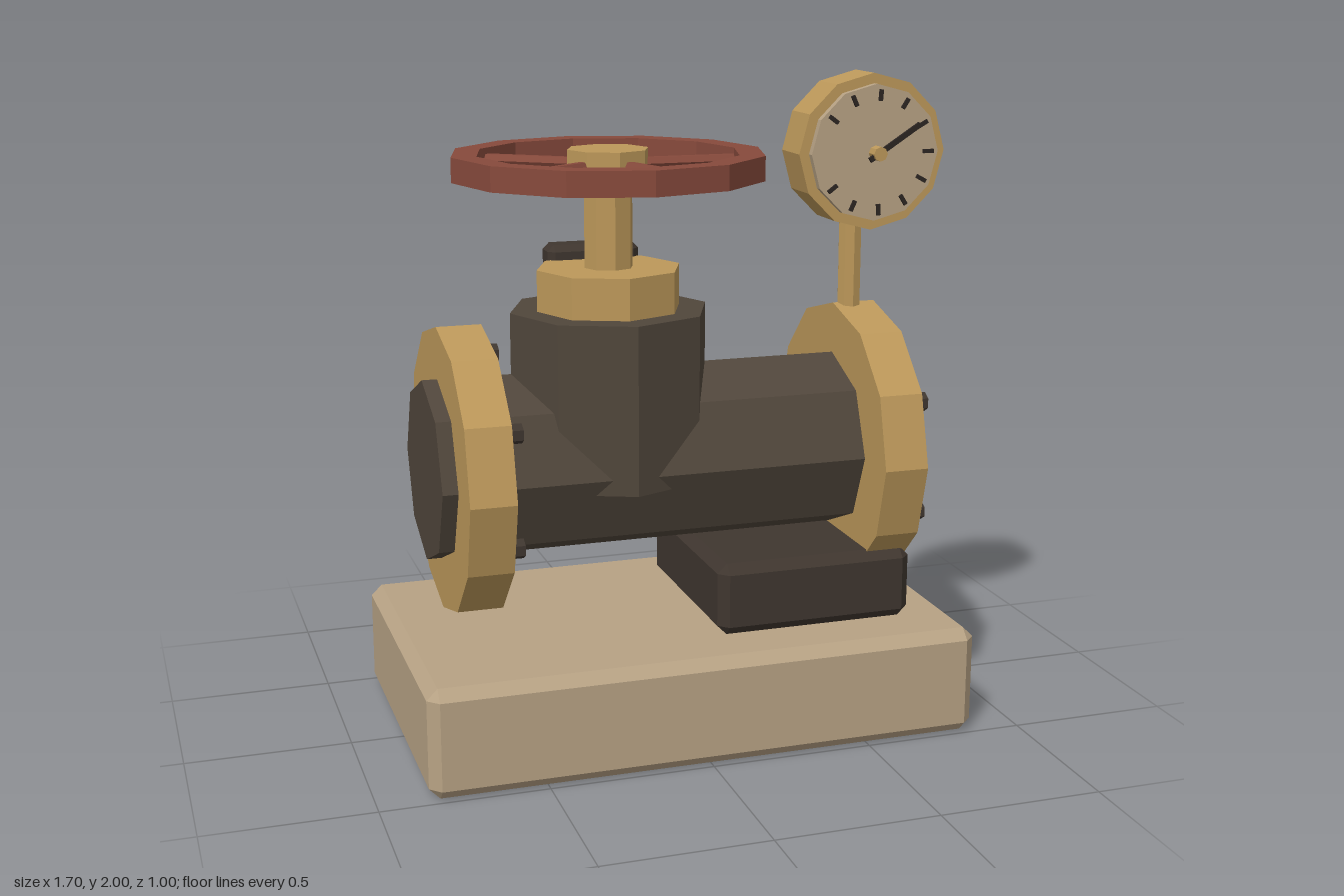
import * as THREE from 'three';
import { ConvexGeometry } from 'three/addons/geometries/ConvexGeometry.js';

const paint = (name, color) => {
  const m = new THREE.MeshStandardMaterial({ color });
  m.name = name;
  return m;
};

export function createModel() {
  const model = new THREE.Group();
  model.name = 'pipeValve';
  const stone = paint('warm stone', 0xb7a284);
  const brass = paint('brass', 0xbc985a);
  const iron = paint('dark iron', 0x50463b);
  const black = paint('blackened iron', 0x3f362f);
  const red = paint('wheel red', 0x874a3c);
  const ink = paint('ink', 0x2c2522);

  function add(parent, name, geo, mat, x = 0, y = 0, z = 0) {
    const flat = geo.index ? geo.toNonIndexed() : geo;
    flat.computeVertexNormals();
    const mesh = new THREE.Mesh(flat, mat);
    mesh.name = name;
    mesh.position.set(x, y, z);
    parent.add(mesh);
    return mesh;
  }
  function group(name, x, y, z) {
    const g = new THREE.Group();
    g.name = name;
    g.position.set(x, y, z);
    model.add(g);
    return g;
  }
  // Prism along a chosen axis
  function prism(r, h, sides, axis = 'y', turn = 0) {
    const g = new THREE.CylinderGeometry(r, r, h, sides).rotateY(turn);
    if (axis === 'x') g.rotateZ(-Math.PI / 2);
    if (axis === 'z') g.rotateX(Math.PI / 2);
    return g;
  }
  // Box with every edge chamfered by c
  function chamferBox(w, h, d, c) {
    const pts = [];
    for (const sx of [-1, 1]) for (const sy of [-1, 1]) for (const sz of [-1, 1]) {
      for (let k = 0; k < 3; k++) {
        const inset = [c, c, c];
        inset[k] = 0;
        pts.push(new THREE.Vector3(
          sx * (w / 2 - inset[0]), sy * (h / 2 - inset[1]), sz * (d / 2 - inset[2])));
      }
    }
    return new ConvexGeometry(pts);
  }
  const ringPoints = (r, n) => Array.from({ length: n }, (_, i) => {
    const a = i / n * Math.PI * 2;
    return new THREE.Vector2(r * Math.cos(a), r * Math.sin(a));
  });

  // Base and support block
  add(model, 'base', chamferBox(1.7, 0.335, 1, 0.033), stone, 0, 0.1675, 0);
  add(model, 'supportBlock', chamferBox(0.625, 0.225, 0.666, 0.03), black, 0.388, 0.447, 0);

  // Pipe and valve body
  const pipeY = 0.842, valveX = -0.172;
  add(model, 'pipe', prism(0.278, 1.5, 8, 'x'), iron, 0, pipeY, 0);
  add(model, 'valveBody', prism(0.307, 0.51, 8), iron, valveX, 1.05, 0);
  add(model, 'bonnet', prism(0.223, 0.14, 8), brass, valveX, 1.36, 0);
  add(model, 'stem', prism(0.075, 0.32, 8), brass, valveX, 1.56, 0);
  add(model, 'rearBox', chamferBox(0.29, 0.122, 0.1, 0.02), black, valveX, 1.414, -0.203);

  // Flanges, each with six bolts on its +x face
  for (const [name, x] of [['rightFlange', -0.635], ['leftFlange', 0.628]]) {
    const flange = group(name, x, pipeY, 0);
    add(flange, 'flangeDisc', prism(0.436, 0.137, 12, 'x'), brass);
    for (let i = 0; i < 6; i++) {
      const a = Math.PI / 2 + i * Math.PI / 3;
      add(flange, 'bolt', prism(0.03, 0.07, 6, 'x', Math.PI / 6), black,
        0.08, 0.345 * Math.sin(a), 0.345 * Math.cos(a));
    }
  }

  // Handwheel: rim, five spokes, hub
  const wheel = group('handwheel', valveX, 1.737, 0);
  const rim = new THREE.Shape(ringPoints(0.474, 12));
  rim.holes.push(new THREE.Path(ringPoints(0.397, 12).reverse()));
  add(wheel, 'rim', new THREE.ExtrudeGeometry(rim, { depth: 0.074, bevelEnabled: false })
    .translate(0, 0, -0.037).rotateX(-Math.PI / 2), red);
  for (let i = 0; i < 5; i++) {
    const spoke = prism(0.021, 0.35, 6, 'x').translate(0.245, 0, 0).rotateY(i * Math.PI * 2 / 5);
    add(wheel, 'spoke', spoke, red);
  }
  add(wheel, 'hub', prism(0.125, 0.1, 8), brass, 0, -0.002, 0);

  // Pressure gauge
  const gauge = group('gauge', 0.612, 1.764, 0);
  add(gauge, 'gaugeStem', prism(0.037, 0.42, 8), brass, 0, -0.324, 0);
  add(gauge, 'gaugeCase', prism(0.236, 0.142, 12, 'z'), brass, 0, 0, 0.084);
  add(gauge, 'dialFace', prism(0.205, 0.025, 12, 'z'), stone, 0, 0, 0.166);
  for (let i = -5; i <= 5; i++) {
    const tick = new THREE.BoxGeometry(0.034, 0.012, 0.008)
      .translate(0.172, 0, 0).rotateZ(i * 0.5);
    add(gauge, 'tick', tick, ink, 0, 0, 0.182);
  }
  add(gauge, 'needle', new THREE.BoxGeometry(0.19, 0.016, 0.009)
    .translate(0.06, 0, 0).rotateZ(0.57), ink, 0, 0, 0.206);
  add(gauge, 'needlePin', prism(0.022, 0.045, 8, 'z'), brass, 0, 0, 0.197);

  return model;
}
